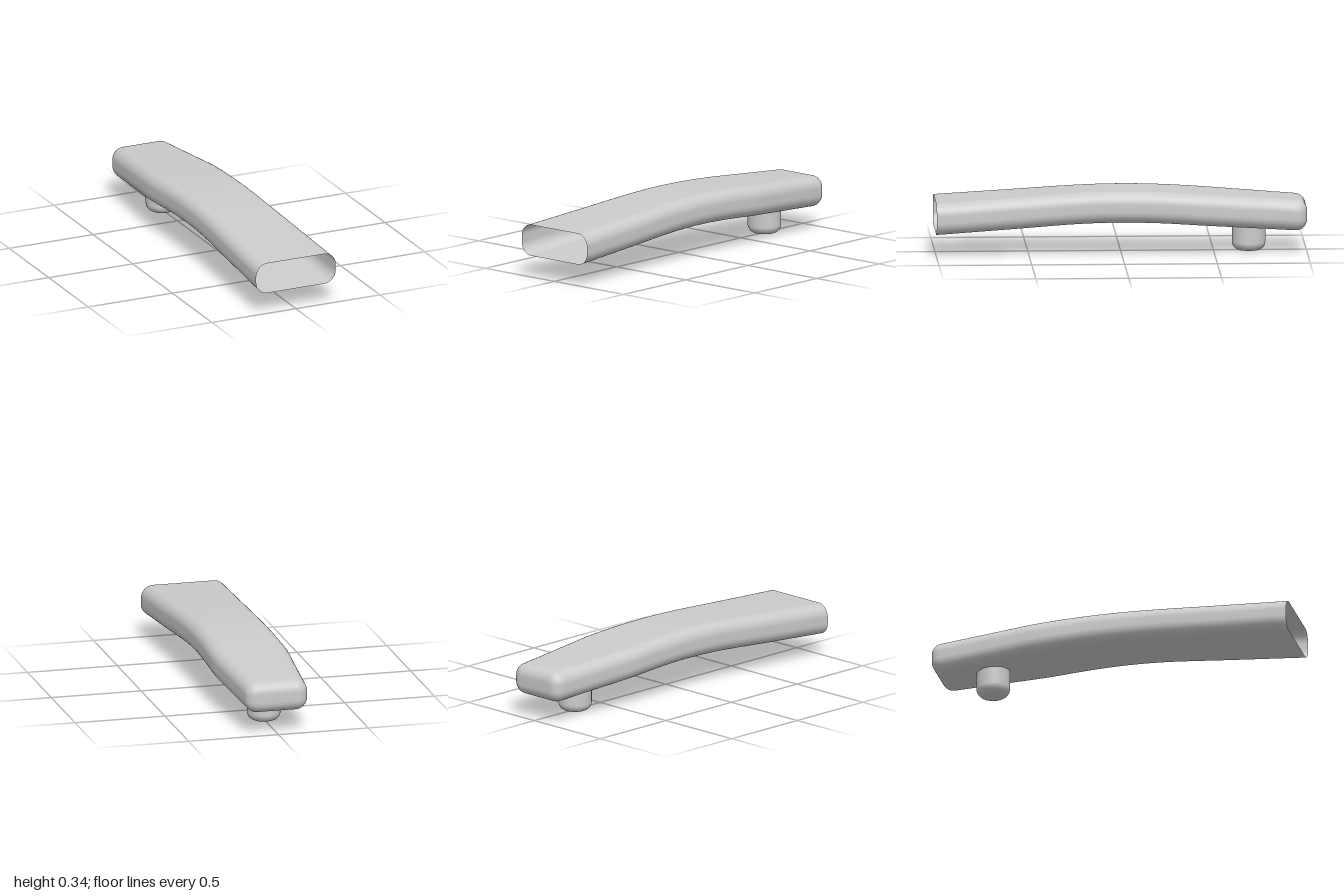
import * as THREE from 'three';

const CORNER_STEPS = 8;

// Rounded-rectangle outline, counter-clockwise seen from +z
function outline(halfW, halfH, r) {
  const pts = [];
  [[1, 1], [-1, 1], [-1, -1], [1, -1]].forEach(([sx, sy], q) => {
    for (let i = 0; i <= CORNER_STEPS; i++) {
      const a = (q + i / CORNER_STEPS) * Math.PI / 2;
      pts.push([sx * (halfW - r) + r * Math.cos(a), sy * (halfH - r) + r * Math.sin(a)]);
    }
  });
  return pts;
}

// Hollow arched shell: open at the front, rounded and closed at the back
function shellGeometry() {
  const halfH = 0.085, r = 0.066, round = 0.06;
  // Stations along the length: half width, centre height, z
  const spine = new THREE.CatmullRomCurve3([
    [0.236, 0.202, 1], [0.221, 0.228, 0.6], [0.207, 0.253, 0.22], [0.206, 0.2585, 0],
    [0.209, 0.254, -0.2], [0.212, 0.241, -0.42], [0.203, 0.232, -0.55],
    [0.188, 0.219, -0.74], [0.173, 0.205, -0.94],
  ].map((p) => new THREE.Vector3(...p)));

  const rings = spine.getPoints(40).map((p) => ({ w: p.x, h: halfH, r, y: p.y, z: p.z }));
  // Quarter-round back edge
  const end = rings[rings.length - 1];
  for (let i = 1; i <= 8; i++) {
    const a = (i / 8) * Math.PI / 2;
    const inset = round * (1 - Math.cos(a));
    rings.push({ w: end.w - inset, h: halfH - inset, r: r - inset, y: end.y, z: end.z - round * Math.sin(a) });
  }

  const pos = [], index = [];
  const n = 4 * (CORNER_STEPS + 1);
  rings.forEach((s, k) => {
    outline(s.w, s.h, s.r).forEach(([x, y]) => pos.push(x, s.y + y, s.z));
    if (k === 0) return;
    for (let i = 0; i < n; i++) {
      const j = (i + 1) % n;
      const a = (k - 1) * n + i, b = (k - 1) * n + j, c = k * n + i, d = k * n + j;
      index.push(a, c, b, b, c, d);
    }
  });
  // Back face
  const last = rings.length - 1, centre = pos.length / 3;
  pos.push(0, rings[last].y, rings[last].z);
  for (let i = 0; i < n; i++) index.push(last * n + i, centre, last * n + (i + 1) % n);

  const g = new THREE.BufferGeometry();
  g.setAttribute('position', new THREE.Float32BufferAttribute(pos, 3));
  g.setIndex(index);
  g.computeVertexNormals();
  return g;
}

export function createModel() {
  const model = new THREE.Group();
  model.name = 'handle';
  const material = new THREE.MeshStandardMaterial({ color: 0xcccccc, side: THREE.DoubleSide });

  const shell = new THREE.Mesh(shellGeometry(), material);
  shell.name = 'handleShell';
  model.add(shell);

  // Round peg with a softened foot, reaching through the underside
  const radius = 0.09, fillet = 0.045, top = 0.213;
  const profile = [new THREE.Vector2(0, 0)];
  for (let i = 0; i <= 8; i++) {
    const a = (i / 8) * Math.PI / 2;
    profile.push(new THREE.Vector2(radius - fillet + fillet * Math.sin(a), fillet * (1 - Math.cos(a))));
  }
  profile.push(new THREE.Vector2(radius, top));
  const peg = new THREE.Group();
  peg.name = 'peg';
  const body = new THREE.Mesh(new THREE.LatheGeometry(profile, 40), material);
  body.name = 'pegBody';
  const cap = new THREE.Mesh(new THREE.CircleGeometry(radius, 40), material);
  cap.name = 'pegTop';
  cap.rotation.x = -Math.PI / 2;
  cap.position.y = top;
  peg.add(body, cap);
  peg.position.z = -0.69;
  model.add(peg);

  return model;
}
